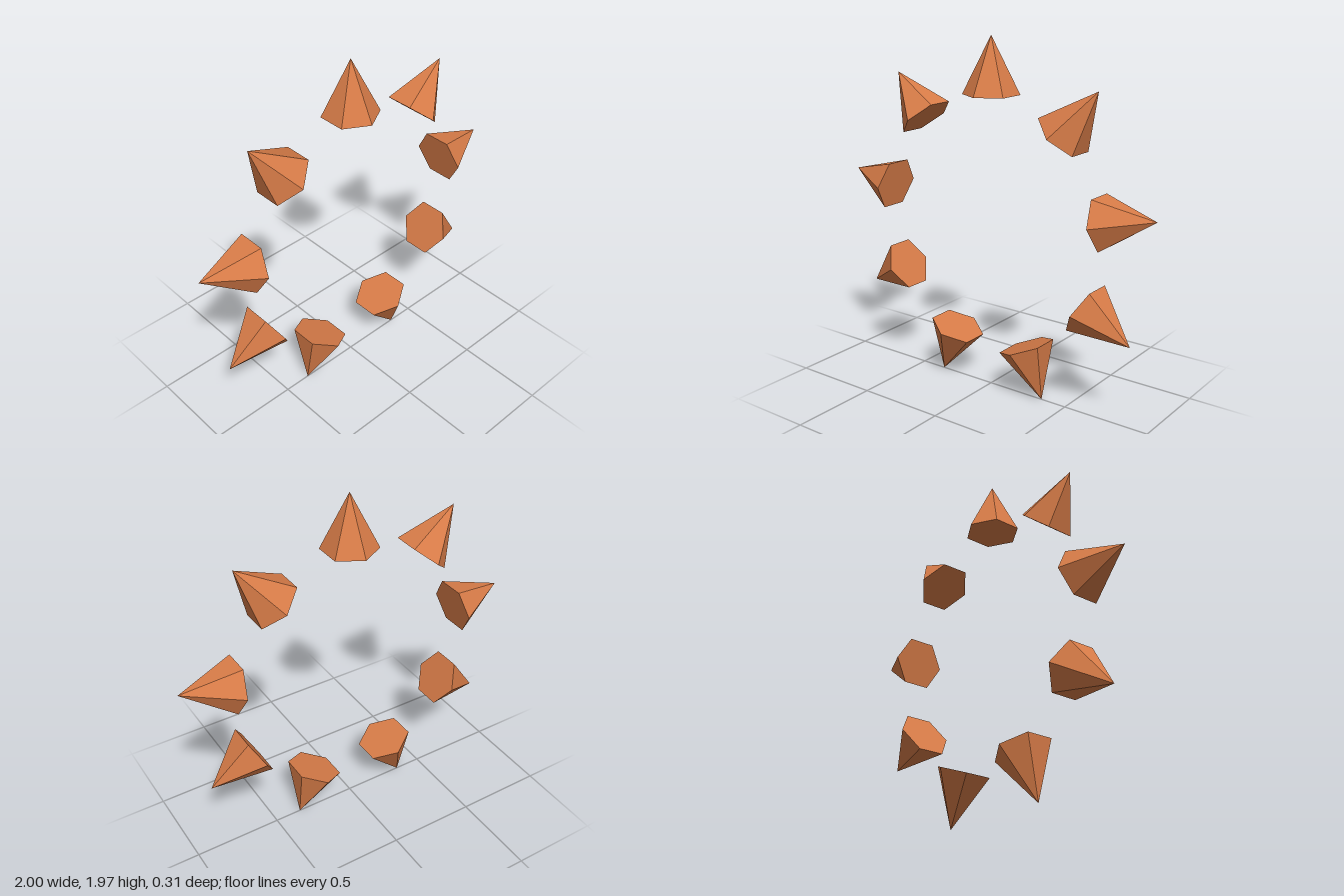
import * as THREE from 'three';

const COUNT = 9;
const TIP_RADIUS = 1.0154; // distance of each tip from the ring centre
const CENTRE_Y = 0.954;
const HEIGHT = 0.31;
const BASE_RADIUS = 0.155;

export function createModel() {
  const group = new THREE.Group();
  group.name = 'spikeRing';

  const material = new THREE.MeshStandardMaterial({ color: 0xd87c48, flatShading: true });

  // Six-sided spike pointing up, already moved out to the ring radius
  const spikeGeometry = new THREE.ConeGeometry(BASE_RADIUS, HEIGHT, 6);
  spikeGeometry.translate(0, TIP_RADIUS - HEIGHT / 2, 0);

  // Spikes spread evenly round the ring, the first one at the top
  for (let i = 0; i < COUNT; i++) {
    const spike = new THREE.Mesh(spikeGeometry, material);
    spike.name = `spike${i + 1}`;
    spike.position.y = CENTRE_Y;
    spike.rotation.z = (-i * 2 * Math.PI) / COUNT;
    group.add(spike);
  }

  return group;
}
